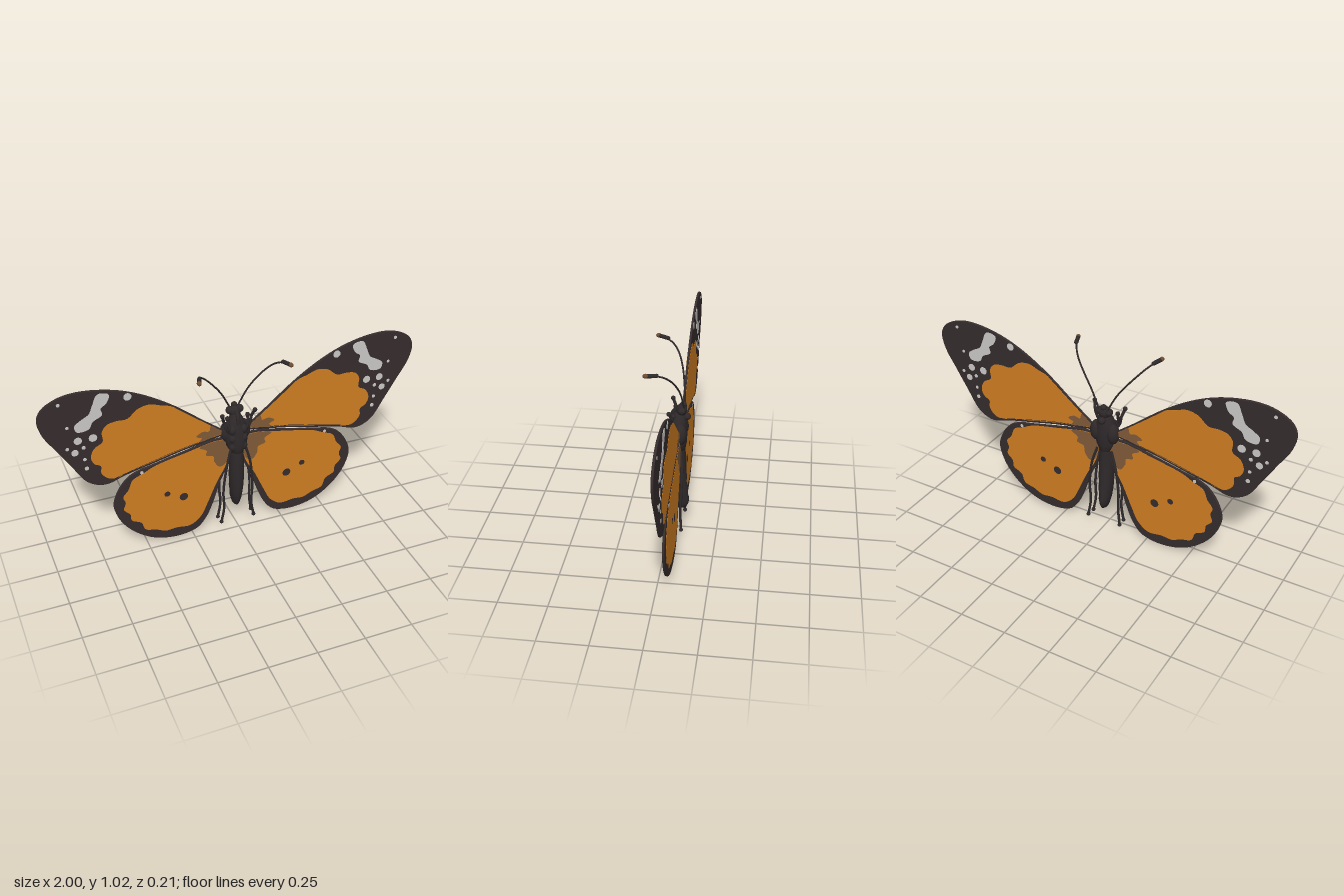
import * as THREE from 'three';

const mat = (name, color, side = THREE.FrontSide) => {
  const m = new THREE.MeshStandardMaterial({ color, side });
  m.name = name;
  return m;
};
const WING_Z = -0.05;

// Wing outlines and markings as [x, y] on the +x side
const FORE = [[0.04, 0.6], [0.08, 0.63], [0.17, 0.7], [0.33, 0.83], [0.49, 0.93], [0.63, 0.985], [0.79, 1.01], [0.89, 0.997],
  [0.97, 0.953], [0.996, 0.9], [0.98, 0.815], [0.92, 0.71], [0.855, 0.6], [0.79, 0.495], [0.73, 0.458], [0.68, 0.454],
  [0.6, 0.48], [0.44, 0.518], [0.28, 0.555], [0.1, 0.587]];
const FORE_PATCH = [[0.07, 0.605], [0.14, 0.67], [0.22, 0.735], [0.3, 0.8], [0.34, 0.832], [0.39, 0.848], [0.45, 0.868], [0.51, 0.855],
  [0.565, 0.812], [0.62, 0.812], [0.67, 0.8], [0.695, 0.765], [0.695, 0.71], [0.74, 0.68], [0.76, 0.63], [0.745, 0.59],
  [0.715, 0.57], [0.715, 0.525], [0.68, 0.485], [0.64, 0.478], [0.58, 0.495], [0.44, 0.528], [0.28, 0.565], [0.1, 0.597]];
const HIND = [[0.03, 0.56], [0.1, 0.575], [0.28, 0.541], [0.44, 0.504], [0.53, 0.484], [0.585, 0.455], [0.637, 0.39], [0.665, 0.31],
  [0.655, 0.245], [0.62, 0.17], [0.56, 0.1], [0.48, 0.043], [0.4, 0.015], [0.3, 0.009], [0.22, 0.032], [0.17, 0.09],
  [0.13, 0.18], [0.09, 0.3], [0.04, 0.42]];
const HIND_PATCH = [[0.04, 0.552], [0.1, 0.567], [0.28, 0.533], [0.44, 0.497], [0.5, 0.468], [0.56, 0.44], [0.585, 0.385], [0.615, 0.345],
  [0.605, 0.305], [0.617, 0.265], [0.585, 0.225], [0.58, 0.185], [0.53, 0.155], [0.51, 0.105], [0.45, 0.085], [0.4, 0.062],
  [0.34, 0.066], [0.26, 0.06], [0.2, 0.105], [0.16, 0.185], [0.11, 0.3], [0.05, 0.42]];
const FORE_SMUDGE = [[0.06, 0.605], [0.1, 0.64], [0.135, 0.665], [0.145, 0.635], [0.18, 0.64], [0.215, 0.618], [0.185, 0.602], [0.2, 0.582], [0.1, 0.6]];
const HIND_SMUDGE = [[0.045, 0.55], [0.1, 0.565], [0.2, 0.546], [0.16, 0.518], [0.165, 0.49], [0.125, 0.475], [0.12, 0.44], [0.09, 0.4], [0.055, 0.42]];
const BAND = [[0.645, 0.97], [0.7, 0.982], [0.73, 0.925], [0.75, 0.882], [0.79, 0.858], [0.825, 0.83], [0.815, 0.795], [0.755, 0.8],
  [0.735, 0.835], [0.685, 0.865], [0.69, 0.9], [0.66, 0.925]];
const WHITE_DOTS = [[0.555, 0.936, 0.02], [0.74, 0.745, 0.021], [0.815, 0.745, 0.02], [0.835, 0.68, 0.018], [0.87, 0.71, 0.009],
  [0.785, 0.575, 0.011], [0.89, 0.965, 0.009], [0.86, 0.83, 0.008], [0.79, 0.7, 0.01], [0.79, 0.63, 0.009]];
const DARK_DOTS = [[0.293, 0.26, 0.023], [0.382, 0.302, 0.016]];
const VEINS = [[[0.07, 0.6], [0.3, 0.565], [0.5, 0.517], [0.67, 0.472]], [[0.07, 0.56], [0.25, 0.541], [0.4, 0.507], [0.52, 0.475]]];

const smoothShape = (pts, side, n) => new THREE.Shape(
  new THREE.CatmullRomCurve3(pts.map(([x, y]) => new THREE.Vector3(x * side, y, 0)), true)
    .getPoints(n).slice(0, -1).map(p => new THREE.Vector2(p.x, p.y)));

const dotShape = ([x, y, r], side) => {
  const s = new THREE.Shape();
  s.absarc(x * side, y, r, 0, Math.PI * 2);
  return s;
};

function tube(points, radius, segments = 24) {
  const curve = new THREE.CatmullRomCurve3(points.map(p => new THREE.Vector3(...p)));
  return new THREE.TubeGeometry(curve, segments, radius, 8);
}

// Body skin through elliptical sections [y, half width, front z, back z]
function loft(sections) {
  const last = sections.length - 1;
  const geo = new THREE.CylinderGeometry(1, 1, 1, 24, last);
  const p = geo.attributes.position;
  for (let i = 0; i < p.count; i++) {
    const [y, w, f, b] = sections[Math.round((p.getY(i) + 0.5) * last)];
    p.setXYZ(i, p.getX(i) * w, y, (f + b) / 2 + p.getZ(i) * (f - b) / 2);
  }
  geo.computeVertexNormals();
  return geo;
}

export function createModel() {
  const model = new THREE.Group();
  model.name = 'butterfly';
  const wingDark = mat('wing dark brown', 0x352c2d);
  const orange = mat('wing orange', 0xcf7e22);
  const white = mat('wing spot white', 0xcbc9c6);
  const smudge = mat('wing root brown', 0x805a38);
  const bodyDark = mat('body black brown', 0x2e2829);
  const clubBrown = mat('antenna tip brown', 0x6e4b32);

  const add = (parent, name, geo, material, pos = [0, 0, 0]) => {
    const m = new THREE.Mesh(geo, material);
    m.name = name;
    m.position.set(...pos);
    parent.add(m);
    return m;
  };
  const ball = (name, r, pos, scale = [1, 1, 1], material = bodyDark) =>
    add(model, name, new THREE.SphereGeometry(r, 16, 12), material, pos).scale.set(...scale);

  // Marking repeated as a thin plate on both wing faces
  const plates = (parent, name, shape, material, level) => {
    const t = 0.001 + level * 0.001;
    const geo = new THREE.ExtrudeGeometry(shape, { depth: t, bevelEnabled: false, curveSegments: 10 });
    add(parent, name + 'Front', geo, material, [0, 0, WING_Z + 0.006]);
    add(parent, name + 'Back', geo, material, [0, 0, WING_Z - 0.006 - t]);
  };
  const slab = (parent, name, pts, side) => add(parent, name, new THREE.ExtrudeGeometry(smoothShape(pts, side, 110), {
    depth: 0.006, bevelThickness: 0.003, bevelSize: 0.003, bevelOffset: -0.001, bevelSegments: 2,
  }), wingDark, [0, 0, WING_Z - 0.003]);

  for (const side of [1, -1]) {
    const label = side > 0 ? 'left' : 'right';

    // Forewing
    const fore = new THREE.Group();
    fore.name = label + 'Forewing';
    model.add(fore);
    slab(fore, 'forewingBlade', FORE, side);
    plates(fore, 'forewingPatch', smoothShape(FORE_PATCH, side, 120), orange, 0);
    plates(fore, 'forewingRootShade', smoothShape(FORE_SMUDGE, side, 50), smudge, 1);
    plates(fore, 'whiteBand', smoothShape(BAND, side, 60), white, 1);
    WHITE_DOTS.forEach(d => plates(fore, 'whiteSpot', dotShape(d, side), white, 1));

    // Hindwing
    const hind = new THREE.Group();
    hind.name = label + 'Hindwing';
    model.add(hind);
    slab(hind, 'hindwingBlade', HIND, side);
    plates(hind, 'hindwingPatch', smoothShape(HIND_PATCH, side, 120), orange, 0);
    plates(hind, 'hindwingRootShade', smoothShape(HIND_SMUDGE, side, 50), smudge, 1);
    plates(hind, 'whiteFleck', dotShape([0.51, 0.474, 0.009], side), white, 1);
    DARK_DOTS.forEach(d => plates(hind, 'darkSpot', dotShape(d, side), wingDark, 1));

    // Edge veins where the wings meet
    VEINS.forEach((v, i) => add(i ? hind : fore, 'edgeVein',
      tube(v.map(([x, y]) => [x * side, y, WING_Z]), i ? 0.006 : 0.0075), i ? orange : wingDark));

    // Antenna: thin stem with a swollen club
    add(model, label + 'AntennaStem', tube([[0.022, 0.735, -0.072], [0.07, 0.83, -0.062], [0.12, 0.9, -0.047], [0.17, 0.96, -0.02],
      [0.2, 0.992, 0.012], [0.222, 1.008, 0.05]].map(([x, y, z]) => [x * side, y, z]), 0.0045, 40), bodyDark);
    const dir = new THREE.Vector3(0.35 * side, 0.08, 0.93).normalize();
    const club = new THREE.CapsuleGeometry(0.0105, 0.045, 6, 12);
    add(model, label + 'AntennaClub', club, bodyDark, [0.226 * side, 1.01, 0.06])
      .quaternion.setFromUnitVectors(new THREE.Vector3(0, 1, 0), dir);
    ball(label + 'AntennaTip', 0.0115, [0.237 * side, 1.013, 0.089], [1, 1, 1.3], clubBrown);

    // Legs: short raised forelegs, two long trailing pairs
    const leg = (name, pts, r) => {
      add(model, label + name, tube(pts.map(([x, y, z]) => [x * side, y, z]), r), bodyDark);
      const [x, y, z] = pts[pts.length - 1];
      ball(label + name + 'Foot', r * 1.5, [x * side, y, z]);
    };
    leg('Foreleg', [[0.035, 0.6, -0.02], [0.065, 0.65, -0.015], [0.075, 0.69, -0.02], [0.088, 0.735, -0.003]], 0.008);
    leg('ForelegInner', [[0.03, 0.6, -0.015], [0.05, 0.65, -0.008], [0.055, 0.705, -0.02]], 0.008);
    leg('MiddleLeg', [[0.04, 0.52, -0.01], [0.065, 0.42, -0.005], [0.082, 0.25, -0.015], [0.078, 0.14, -0.018], [0.093, 0.05, -0.02]], 0.007);
    leg('HindLeg', [[0.04, 0.5, -0.06], [0.07, 0.4, -0.068], [0.087, 0.25, -0.066], [0.083, 0.15, -0.062], [0.096, 0.05, -0.068]], 0.007);

    // Eyes, shoulders and leg bases
    ball(label + 'Eye', 0.021, [0.027 * side, 0.725, -0.06]);
    ball(label + 'Shoulder', 0.034, [0.048 * side, 0.6, -0.055], [1, 1.7, 1]);
    [0.53, 0.58, 0.63].forEach(y => ball(label + 'LegBase', 0.02, [0.03 * side, y, -0.012], [1, 1.3, 1]));
  }

  // Abdomen with faint ring ripple
  add(model, 'abdomen', loft([[0.13, 0.004, -0.035, -0.06], [0.137, 0.016, -0.025, -0.085], [0.16, 0.023, -0.013, -0.096],
    [0.19, 0.03, -0.003, -0.1], [0.22, 0.032, 0.003, -0.092], [0.25, 0.036, 0.007, -0.095], [0.29, 0.037, 0.009, -0.085],
    [0.33, 0.04, 0.011, -0.087], [0.37, 0.039, 0.01, -0.08], [0.42, 0.04, 0.009, -0.081], [0.47, 0.036, 0.005, -0.076],
    [0.52, 0.036, 0.002, -0.078], [0.55, 0.02, -0.01, -0.07]]), bodyDark);

  // Thorax
  add(model, 'thorax', loft([[0.47, 0.012, -0.01, -0.06], [0.49, 0.035, 0.005, -0.077], [0.53, 0.055, 0.012, -0.084],
    [0.58, 0.063, 0.009, -0.087], [0.63, 0.058, 0.004, -0.087], [0.67, 0.043, -0.004, -0.083], [0.7, 0.028, -0.015, -0.078],
    [0.715, 0.015, -0.03, -0.07]]), bodyDark);

  // Head, nape bump and mouthparts
  ball('head', 0.033, [0, 0.718, -0.057], [1, 1, 0.85]);
  ball('crown', 0.016, [0, 0.75, -0.066]);
  ball('napeBump', 0.019, [0, 0.682, -0.085]);
  add(model, 'mouthparts', tube([[0, 0.73, -0.035], [0, 0.705, -0.015], [0, 0.66, -0.005]], 0.011), bodyDark);

  return model;
}
